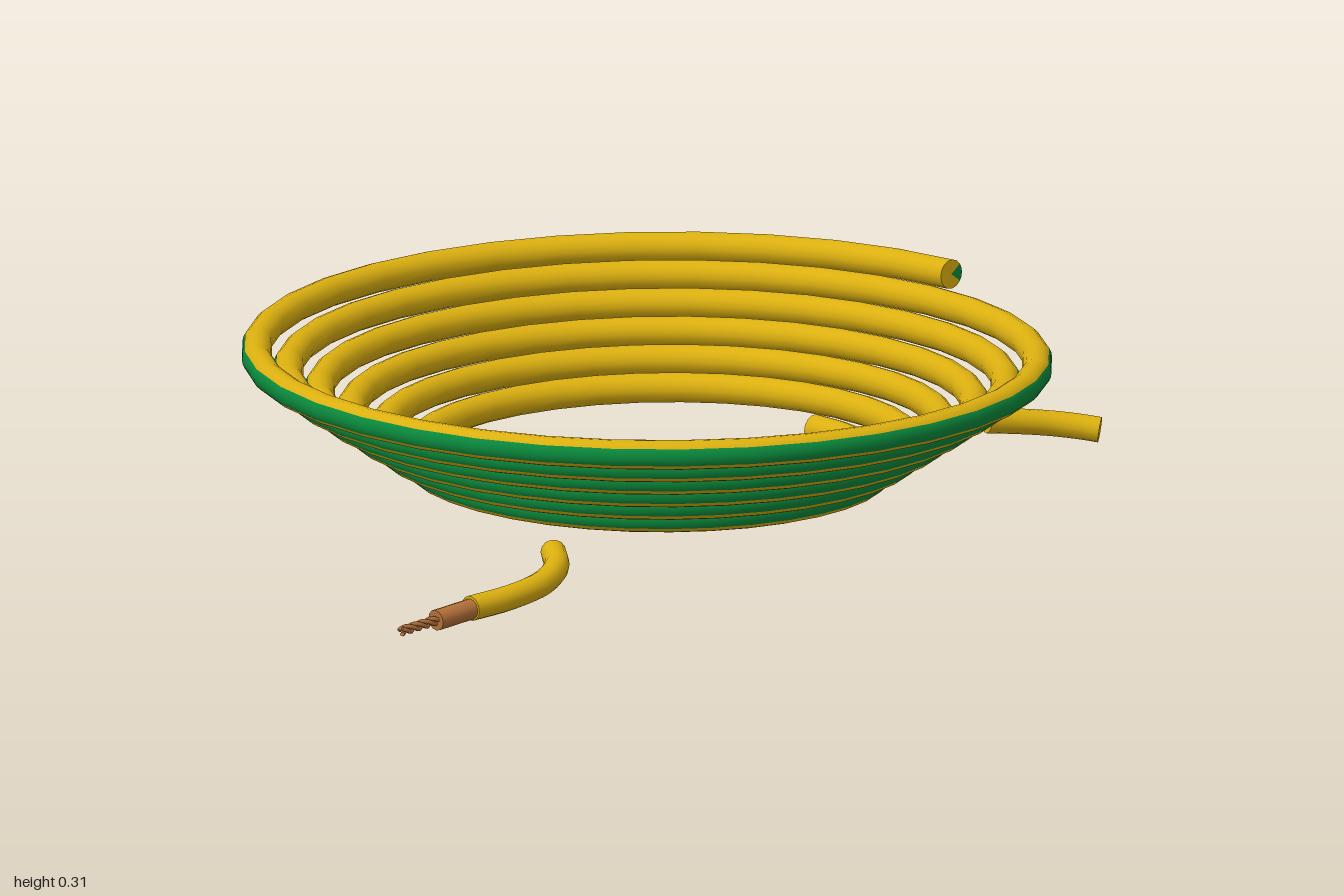
import * as THREE from 'three';

const flat = (name, color) => Object.assign(new THREE.MeshStandardMaterial({ color }), { name });
const V = (x, y, z) => new THREE.Vector3(x, y, z);
const UP = V(0, 1, 0);

// Sweeps an arc (angles a0..a1, 0 = outward, PI/2 = up) along a curve, optionally with end caps
function sweep(curve, steps, radius, a0, a1, sides, capped) {
  const pos = [], nor = [], idx = [];
  const ring = (t) => {
    const p = curve.getPoint(t), tan = curve.getTangent(t);
    const out = UP.clone().cross(tan).normalize();
    const up = tan.clone().cross(out);
    const dirs = [];
    for (let j = 0; j <= sides; j++) {
      const a = a0 + (a1 - a0) * j / sides;
      dirs.push(out.clone().multiplyScalar(Math.cos(a)).addScaledVector(up, Math.sin(a)));
    }
    return { p, tan, dirs };
  };
  const w = sides + 1;
  for (let i = 0; i <= steps; i++) {
    const { p, dirs } = ring(i / steps);
    for (const d of dirs) {
      pos.push(p.x + d.x * radius, p.y + d.y * radius, p.z + d.z * radius);
      nor.push(d.x, d.y, d.z);
    }
    if (i < steps) for (let j = 0; j < sides; j++) {
      const a = i * w + j, b = a + w;
      idx.push(a, a + 1, b, a + 1, b + 1, b);
    }
  }
  if (capped) for (const end of [0, 1]) {
    const { p, tan, dirs } = ring(end), n = tan.clone().multiplyScalar(end ? 1 : -1);
    const c = pos.length / 3;
    pos.push(p.x, p.y, p.z);
    nor.push(n.x, n.y, n.z);
    dirs.forEach((d, j) => {
      pos.push(p.x + d.x * radius, p.y + d.y * radius, p.z + d.z * radius);
      nor.push(n.x, n.y, n.z);
      if (j < sides) idx.push(c, ...(end ? [c + j + 1, c + j + 2] : [c + j + 2, c + j + 1]));
    });
  }
  const g = new THREE.BufferGeometry();
  g.setAttribute('position', new THREE.Float32BufferAttribute(pos, 3));
  g.setAttribute('normal', new THREE.Float32BufferAttribute(nor, 3));
  g.setIndex(idx);
  return g;
}

// Rising, widening spiral
class CoilCurve extends THREE.Curve {
  getPoint(t) {
    const turns = 6, a = t * turns * Math.PI * 2, r = 0.415 + 0.355 * t;
    return V(0.115 + r * Math.cos(a), 0.056 + 0.236 * t, r * Math.sin(a) + 0.005);
  }
}

// One thin strand of a twisted bundle
class StrandCurve extends THREE.Curve {
  constructor(phase) { super(); this.phase = phase; }
  getPoint(t) {
    const a = this.phase + t * Math.PI * 3, r = 0.006;
    return V(-0.905 - 0.095 * t, 0.03 - 0.005 * t + r * Math.sin(a), 0.48 + r * Math.cos(a));
  }
}

export function createModel() {
  const yellow = flat('yellow insulation', 0xdcb010);
  const green = flat('green stripe', 0x0a8a3c);
  const copper = flat('copper', 0xb4703a);
  const model = new THREE.Group();
  model.name = 'cableCoil';
  const add = (parent, name, geometry, material) => {
    const m = new THREE.Mesh(geometry, material);
    m.name = name;
    parent.add(m);
    return m;
  };

  // Coiled cable: yellow jacket with a green stripe along its outer side
  const coil = new THREE.Group();
  coil.name = 'coil';
  model.add(coil);
  const curve = new CoilCurve(), half = Math.PI / 5, R = 0.028;
  add(coil, 'coilJacket', sweep(curve, 216, R, half, Math.PI * 2 - half, 12, true), yellow);
  add(coil, 'coilStripe', sweep(curve, 216, R, -half, half, 4, true), green);

  // Loose cable ends
  const loose = (name, points) => add(model, name,
    sweep(new THREE.CatmullRomCurve3(points), 20, 0.024, 0, Math.PI * 2, 14, true), yellow);
  loose('strippedEnd', [
    V(-0.48, 0.062, 0.35), V(-0.54, 0.055, 0.42), V(-0.62, 0.046, 0.463),
    V(-0.72, 0.04, 0.48), V(-0.82, 0.037, 0.48)]);
  loose('cutEnd', [
    V(0.79, 0.062, 0.2), V(0.85, 0.054, 0.222), V(0.91, 0.045, 0.253),
    V(0.95, 0.038, 0.288), V(0.973, 0.033, 0.315)]);

  // Bare conductor and twisted strands on the stripped end
  const core = new THREE.LineCurve3(V(-0.815, 0.036, 0.48), V(-0.91, 0.03, 0.48));
  add(model, 'copperCore', sweep(core, 1, 0.02, 0, Math.PI * 2, 12, true), copper);
  for (let i = 0; i < 3; i++) {
    const strand = new StrandCurve(i * Math.PI * 2 / 3);
    add(model, 'copperStrand', sweep(strand, 20, 0.0045, 0, Math.PI * 2, 6, true), copper);
  }
  return model;
}
